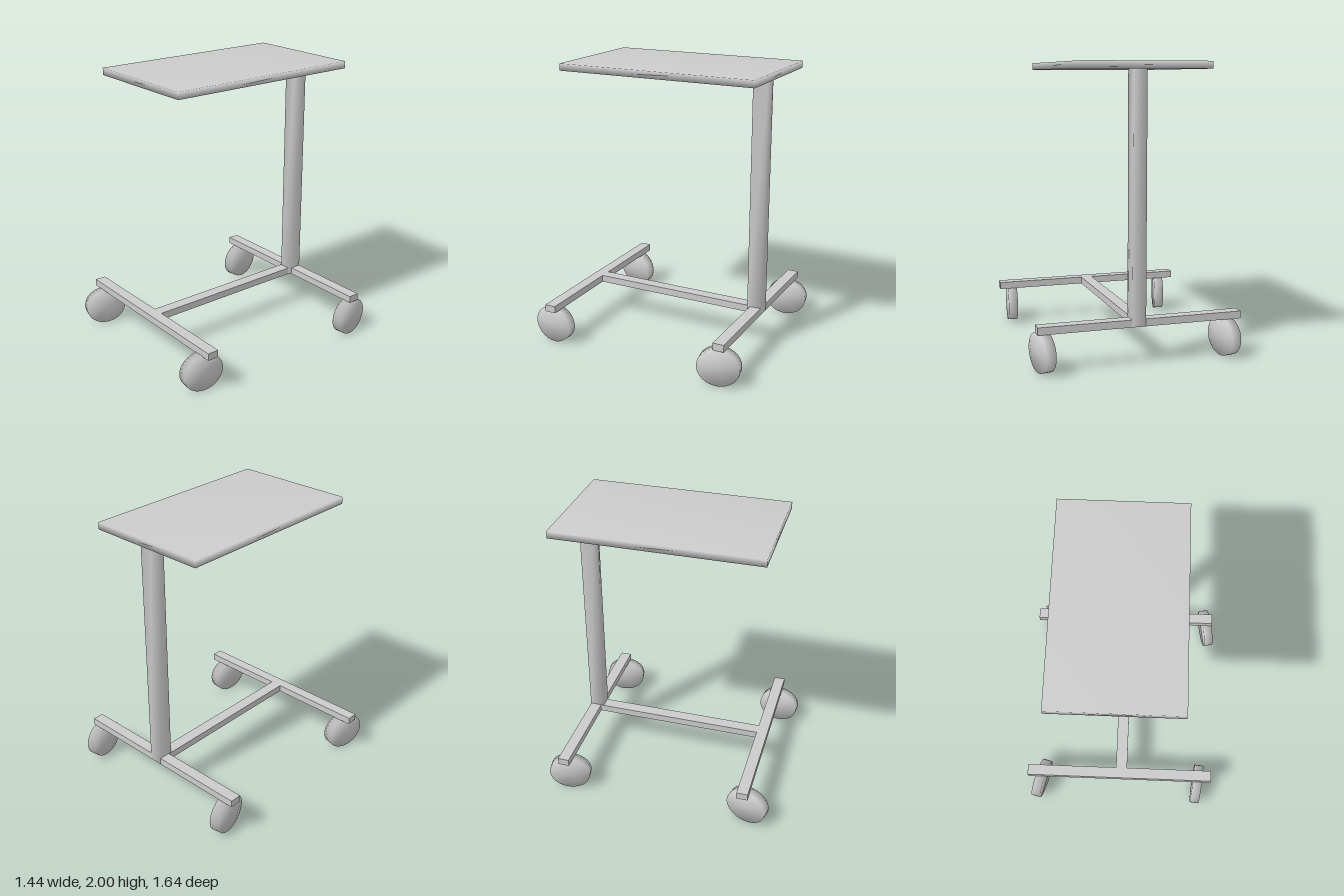
import * as THREE from 'three';
import { mergeVertices } from 'three/addons/utils/BufferGeometryUtils.js';

const material = new THREE.MeshStandardMaterial({ color: 0xcccccc });

// Share corners so the normals blend across the edges
function soften(geometry) {
  geometry.deleteAttribute('normal');
  geometry.deleteAttribute('uv');
  const merged = mergeVertices(geometry, 1e-4);
  merged.computeVertexNormals();
  return merged;
}

// Box given by its extents along each axis
function block(name, [x0, x1], [y0, y1], [z0, z1], soft = false) {
  const box = new THREE.BoxGeometry(x1 - x0, y1 - y0, z1 - z0);
  const mesh = new THREE.Mesh(soft ? soften(box) : box, material);
  mesh.name = name;
  mesh.position.set((x0 + x1) / 2, (y0 + y1) / 2, (z0 + z1) / 2);
  return mesh;
}

export function createModel() {
  const group = new THREE.Group();
  group.name = 'overbedTable';

  // Top and its post
  group.add(block('tableTop', [-0.47, 0.405], [1.95, 2], [-0.766, 0.677], true));
  group.add(block('post', [-0.037, 0.058], [0.264, 1.95], [-0.719, -0.614], true));

  // Base frame
  const barY = [0.262, 0.313];
  group.add(block('frontBar', [-0.722, 0.695], barY, [0.6, 0.68]));
  group.add(block('backBar', [-0.722, 0.695], barY, [-0.717, -0.636]));
  group.add(block('spine', [-0.04, 0.045], barY, [-0.636, 0.6]));

  // Slightly oval wheels, each swivelled to its own angle
  const wheelGeometry = new THREE.CylinderGeometry(1, 1, 0.07, 32);
  wheelGeometry.rotateZ(Math.PI / 2).scale(1, 0.133, 0.149);
  const softWheel = soften(wheelGeometry);
  const wheels = [
    ['frontRightWheel', -0.624, 0.665, -15.3],
    ['frontLeftWheel', 0.596, 0.665, -6.4],
    ['backRightWheel', -0.626, -0.668, 10.2],
    ['backLeftWheel', 0.655, -0.668, 10.2],
  ];
  for (const [name, x, z, swivel] of wheels) {
    const wheel = new THREE.Mesh(softWheel, material);
    wheel.name = name;
    wheel.position.set(x, 0.135, z);
    wheel.rotation.y = THREE.MathUtils.degToRad(swivel);
    group.add(wheel);
  }
  return group;
}
